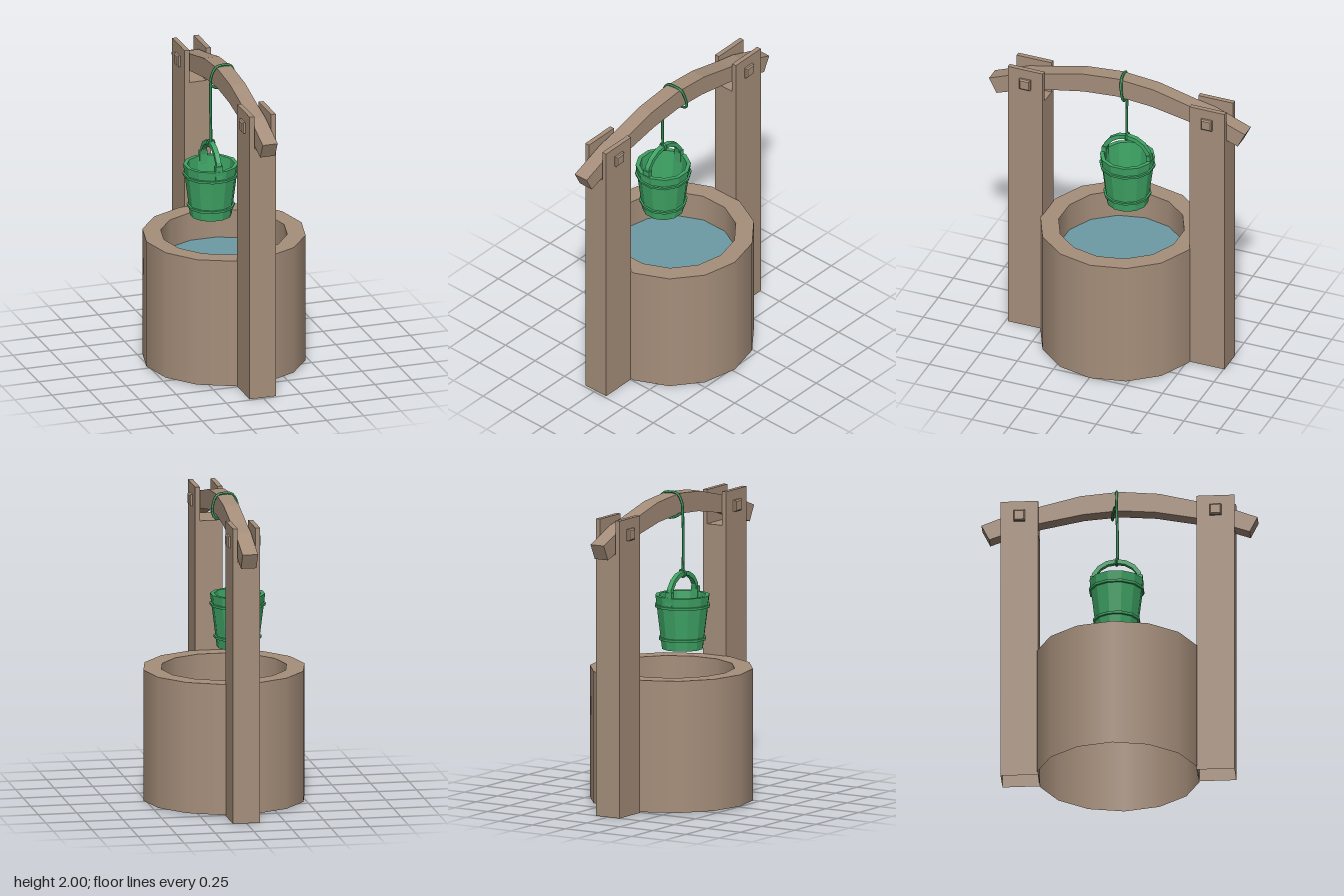
import * as THREE from 'three';

const material = (color, flatShading) =>
  new THREE.MeshStandardMaterial({ color, flatShading, side: THREE.DoubleSide });
const wood = material(0xa68f7b, true);
const stone = material(0xa68f7b, false);
const green = material(0x3fa565, true);
const water = material(0x6c9ba5, true);

function add(parent, name, geometry, mat, x = 0, y = 0, z = 0) {
  const mesh = new THREE.Mesh(geometry, mat);
  mesh.name = name;
  mesh.position.set(x, y, z);
  parent.add(mesh);
  return mesh;
}

const toPoints = (list) => list.map(([a, b]) => new THREE.Vector2(a, b));
const lathe = (list, sides, start) => new THREE.LatheGeometry(toPoints(list), sides, start);

function extrude(list, depth) {
  const geo = new THREE.ExtrudeGeometry(new THREE.Shape(toPoints(list)), { depth, bevelEnabled: false });
  return geo.translate(0, 0, -depth / 2);
}

// Remove the faces that lie on the ground, leaving a hollow foot
function openBottom(geometry) {
  const p = geometry.attributes.position;
  const kept = [];
  for (let i = 0; i < p.count; i += 3) {
    if ([0, 1, 2].every((k) => Math.abs(p.getY(i + k)) < 1e-5)) continue;
    for (let k = 0; k < 3; k++) kept.push(p.getX(i + k), p.getY(i + k), p.getZ(i + k));
  }
  const geo = new THREE.BufferGeometry();
  geo.setAttribute('position', new THREE.Float32BufferAttribute(kept, 3));
  geo.computeVertexNormals();
  return geo;
}

function makeWell() {
  const well = new THREE.Group();
  well.name = 'well';
  const start = Math.PI / 2;
  add(well, 'outerWall', lathe([[0.522, 0.008], [0.522, 0.858]], 14, start), stone);
  add(well, 'rim', lathe([[0.522, 0.858], [0.405, 0.858]], 14, start), stone);
  add(well, 'innerWall', lathe([[0.405, 0.858], [0.405, 0.67]], 14, start), stone);
  add(well, 'water', new THREE.CircleGeometry(0.405, 14).rotateX(-Math.PI / 2), water, 0, 0.67, 0);
  return well;
}

function makePost(side) {
  const post = new THREE.Group();
  post.name = side > 0 ? 'frontPost' : 'backPost';
  // Forked post with a slot for the beam
  const outline = [[-0.088, 0], [0.088, 0], [0.088, 1.92], [0.057, 1.92], [0.057, 1.7],
    [-0.057, 1.7], [-0.057, 1.92], [-0.088, 1.92]];
  add(post, 'forkedPost', openBottom(extrude(outline, 0.24)), wood);
  // Square peg ends with chamfered faces
  for (const s of [-1, 1]) {
    const peg = new THREE.CylinderGeometry(0.041, 0.053, 0.008, 4, 1).rotateY(Math.PI / 4)
      .rotateZ(-s * Math.PI / 2);
    add(post, 'pegCap', peg, wood, s * 0.105, 1.817, 0);
    add(post, 'peg', new THREE.BoxGeometry(0.016, 0.075, 0.075), wood, s * 0.093, 1.817, 0);
  }
  post.position.z = side * 0.625;
  return post;
}

function makeBucket() {
  const bucket = new THREE.Group();
  bucket.name = 'bucket';
  const start = Math.PI / 12;
  // Hollow tapered body: floor, outside, lip, inside, inner floor
  add(bucket, 'bucketBody', lathe([[0, 0.988], [0.133, 0.988], [0.176, 1.335], [0.15, 1.335],
    [0.118, 1.02], [0, 1.02]], 12, start), green);
  for (const [y, r] of [[1.267, 0.167], [1.055, 0.141]]) {
    add(bucket, 'hoop', lathe([[r - 0.004, y - 0.01], [r + 0.011, y - 0.008],
      [r + 0.013, y + 0.008], [r - 0.002, y + 0.01]], 12, start), green);
  }
  // Arched handle made of straight lengths
  const arch = [];
  const steps = 8;
  for (let i = 0; i <= steps; i++) {
    const a = (Math.PI * i) / steps;
    arch.push([0.167 * Math.cos(a), 1.335 + 0.152 * Math.sin(a)]);
  }
  for (let i = steps; i >= 0; i--) {
    const a = (Math.PI * i) / steps;
    arch.push([0.14 * Math.cos(a), 1.335 + 0.124 * Math.sin(a)]);
  }
  add(bucket, 'handle', extrude(arch, 0.032).rotateY(Math.PI / 2), green);
  for (const s of [-1, 1]) {
    add(bucket, 'handleEar', new THREE.BoxGeometry(0.05, 0.09, 0.03), green, 0, 1.325, s * 0.152);
  }
  add(bucket, 'ropeKnot', new THREE.TorusGeometry(0.024, 0.008, 5, 8), green, 0, 1.472, 0);
  bucket.position.set(-0.087, 0, -0.005);
  return bucket;
}

function makeRope() {
  // Rises from the handle, goes over the beam and loops back underneath
  const path = [[-0.087, 1.48, 0], [-0.09, 1.68, 0], [-0.089, 1.85, -0.005], [-0.082, 1.93, -0.005],
    [-0.05, 1.983, -0.008], [0, 1.991, -0.012], [0.05, 1.98, -0.02], [0.078, 1.92, -0.03],
    [0.076, 1.85, -0.042], [0.045, 1.832, -0.042], [-0.04, 1.834, -0.03], [-0.082, 1.86, -0.015]];
  const curve = new THREE.CatmullRomCurve3(path.map((p) => new THREE.Vector3(...p)));
  return new THREE.TubeGeometry(curve, 48, 0.009, 6);
}

export function createModel() {
  const model = new THREE.Group();
  model.name = 'wishingWell';
  const frame = new THREE.Group();
  frame.name = 'frame';
  frame.position.z = -0.01;
  model.add(frame);
  frame.add(makeWell(), makePost(1), makePost(-1));

  // Bowed beam, mirrored about its middle
  const top = [[0.25, 1.96], [0.51, 1.895], [0.64, 1.868], [0.88, 1.775]];
  const bottom = [[0.83, 1.675], [0.6, 1.757], [0.51, 1.778], [0.23, 1.832]];
  const right = [...top, ...bottom];
  const left = right.map(([a, b]) => [-a, b]).reverse();
  const outline = [[0, 1.982], ...right, [0, 1.85], ...left];
  add(model, 'beam', extrude(outline, 0.1).rotateY(Math.PI / 2), wood);

  frame.add(makeBucket());
  add(frame, 'rope', makeRope(), green);
  return model;
}
